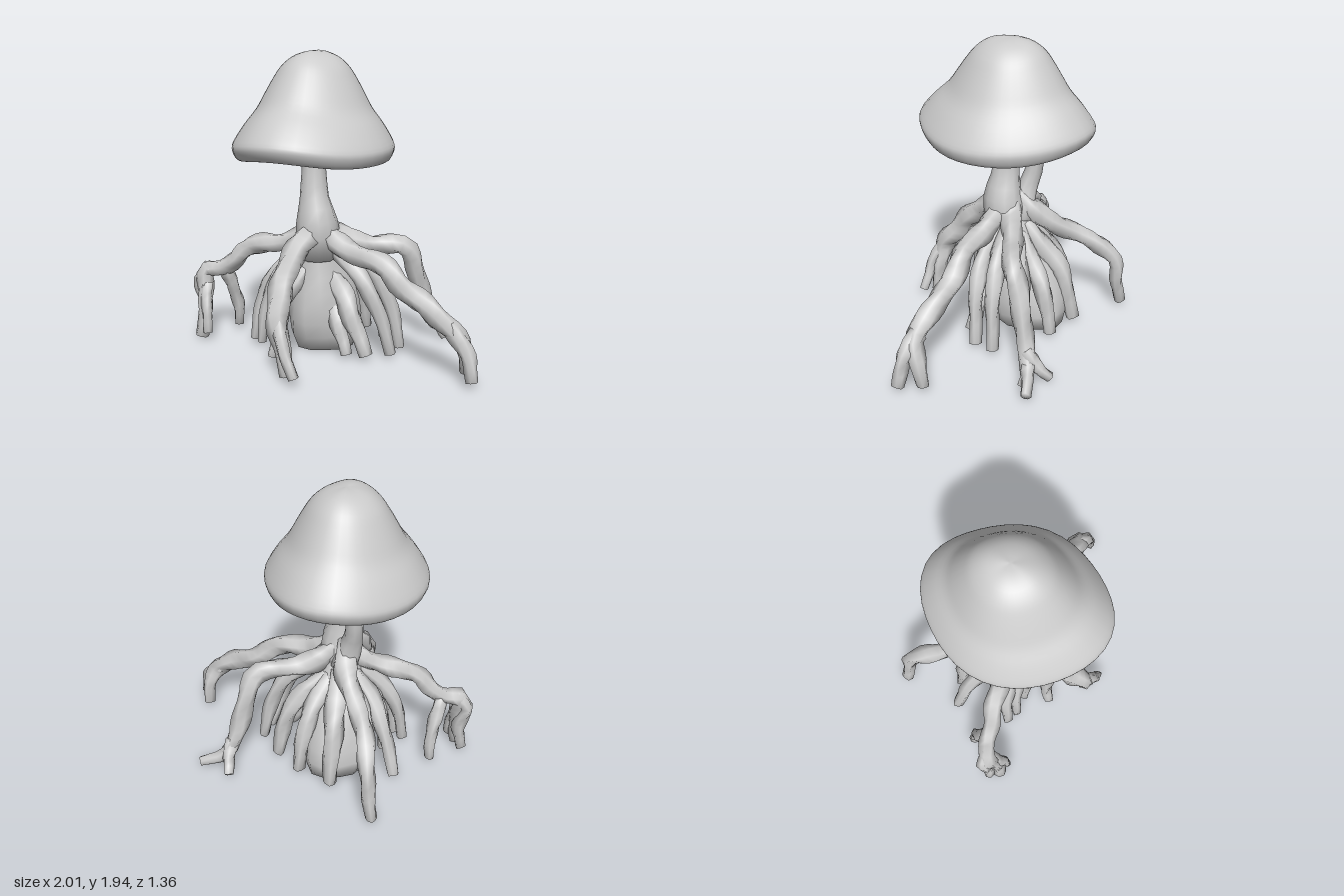
import * as THREE from 'three';
import { mergeVertices } from 'three/addons/utils/BufferGeometryUtils.js';

const material = new THREE.MeshStandardMaterial({ color: 0xcccccc });
const capMaterial = new THREE.MeshStandardMaterial({ color: 0xcccccc, side: THREE.DoubleSide });

// Drops seams so normals run smoothly all round
function smooth(geometry) {
  geometry.deleteAttribute('uv');
  geometry.deleteAttribute('normal');
  const merged = mergeVertices(geometry, 1e-5);
  merged.computeVertexNormals();
  return merged;
}

function lerpList(list, t) {
  const s = t * (list.length - 1), i = Math.min(Math.floor(s), list.length - 2);
  return list[i] + (list[i + 1] - list[i]) * (s - i);
}

// Tapered, gnarled tube with blunt closed ends; radii are spread evenly along its length
function limb(name, points, radii, gnarl = 0.16, sides = 7) {
  const curve = new THREE.CatmullRomCurve3(points.map(p => new THREE.Vector3(...p)), false, 'centripetal');
  const n = points.length * 3;
  const geometry = new THREE.TubeGeometry(curve, n, 1, sides);
  const pos = geometry.attributes.position, v = new THREE.Vector3();
  for (let i = 0; i <= n; i++) {
    const centre = curve.getPointAt(i / n);
    const end = i === 0 || i === n;
    const target = i === 1 ? curve.getPointAt(0) : i === n - 1 ? curve.getPointAt(1) : centre;
    for (let j = 0; j <= sides; j++) {
      const k = i * (sides + 1) + j;
      const wobble = 1 + gnarl * Math.sin(i * 1.1 + points[0][0] * 20 + (j % sides) * 2.4);
      v.fromBufferAttribute(pos, k).sub(centre).multiplyScalar(end ? 0 : lerpList(radii, i / n) * wobble).add(target);
      pos.setXYZ(k, v.x, Math.max(v.y, 0), v.z);
    }
  }
  const mesh = new THREE.Mesh(smooth(geometry), material);
  mesh.name = name;
  return mesh;
}

// Hollow bell cap: an oval lathe, slightly pinched on the diagonals, whose rim lifts at front and back
function makeCap() {
  const profile = [
    [0, 1.78], [0.2, 1.76], [0.36, 1.7], [0.5, 1.58], [0.66, 1.47], [0.82, 1.37], [0.86, 1.325],
    [0.9, 1.305], [0.95, 1.315], [0.995, 1.37], [0.975, 1.42], [0.85, 1.52], [0.71, 1.61],
    [0.61, 1.7], [0.52, 1.78], [0.42, 1.855], [0.29, 1.91], [0.14, 1.937], [0, 1.942],
  ].map(p => new THREE.Vector2(...p));
  const curve = new THREE.SplineCurve(profile);
  const geometry = new THREE.LatheGeometry(curve.getPoints(54).map(p => p.setX(Math.max(p.x, 0))), 40);
  const pos = geometry.attributes.position;
  for (let i = 0; i < pos.count; i++) {
    const x = pos.getX(i), y = pos.getY(i), z = pos.getZ(i);
    const r = Math.hypot(x, z), a = Math.atan2(z, x);
    const lift = r * (0.06 * Math.sin(a) ** 4 - 0.03);
    const pinch = 1 - 0.045 * r * Math.sin(2 * a) ** 2;
    pos.setXYZ(i, -0.15 + x * 0.51 * pinch, y + lift, 0.03 + 0.035 * r * r + z * (0.5 + 0.087 * r) * pinch);
  }
  const mesh = new THREE.Mesh(smooth(geometry), capMaterial);
  mesh.name = 'cap';
  return mesh;
}

// Lumpy core that the roots grip
function makeCore() {
  const rows = 8, sides = 14;
  const geometry = new THREE.CylinderGeometry(1, 1, 1, sides, rows);
  const pos = geometry.attributes.position;
  const rx = [0.21, 0.24, 0.245, 0.235, 0.215, 0.185, 0.15, 0.12, 0.08];
  const rz = [0.25, 0.28, 0.28, 0.26, 0.23, 0.19, 0.16, 0.13, 0.08];
  for (let i = 0; i < pos.count; i++) {
    const t = pos.getY(i) + 0.5, a = Math.atan2(pos.getZ(i), pos.getX(i));
    const r = Math.hypot(pos.getX(i), pos.getZ(i)) * (1 + 0.06 * Math.sin(4 * a + t * 5));
    pos.setXYZ(i, -0.15 + Math.cos(a) * r * lerpList(rx, t), t * 0.82, -0.12 + 0.16 * t + Math.sin(a) * r * lerpList(rz, t));
  }
  const mesh = new THREE.Mesh(smooth(geometry), material);
  mesh.name = 'rootCore';
  return mesh;
}

export function createModel() {
  const group = new THREE.Group();
  group.add(makeCap(), makeCore());

  // Twin stems
  group.add(limb('mainStem',
    [[-0.155, 1.78, 0.05], [-0.155, 1.3, 0.055], [-0.15, 1.05, 0.065], [-0.125, 0.85, 0.07], [-0.14, 0.65, 0.04]],
    [0.06, 0.066, 0.07, 0.075, 0.095, 0.14, 0.14], 0.03, 12));
  group.add(limb('thinStem',
    [[-0.23, 1.72, -0.17], [-0.24, 1.3, -0.125], [-0.25, 1.05, -0.09], [-0.22, 0.9, -0.05], [-0.17, 0.72, -0.04]],
    [0.04, 0.045, 0.05, 0.06, 0.1], 0.05, 10));

  // Long arching roots and their forked ends
  const mainRoots = {
    leftRoot: [
      [[[-0.12, 0.9, 0.06], [-0.04, 0.79, 0.07], [0.09, 0.71, 0.1], [0.33, 0.66, 0.12], [0.48, 0.53, 0.12], [0.7, 0.41, 0.16], [0.84, 0.3, 0.17], [0.89, 0.18, 0.12], [0.89, 0.04, 0.09]], [0.05, 0.075, 0.065, 0.07, 0.07, 0.065, 0.055, 0.035]],
      [[[0.8, 0.34, 0.17], [0.91, 0.23, 0.2], [0.97, 0.04, 0.22]], [0.055, 0.05, 0.035]],
    ],
    backLeftRoot: [
      [[[-0.13, 0.9, 0.03], [-0.05, 0.78, -0.03], [0.12, 0.7, -0.12], [0.35, 0.68, -0.24], [0.41, 0.5, -0.32], [0.46, 0.25, -0.38], [0.53, 0.1, -0.44], [0.69, 0.03, -0.5]], [0.05, 0.08, 0.06, 0.065, 0.065, 0.06, 0.05, 0.025]],
      [[[0.49, 0.2, -0.4], [0.49, 0.1, -0.48], [0.46, 0.03, -0.56]], [0.05, 0.045, 0.025]],
      [[[0.52, 0.12, -0.44], [0.56, 0.06, -0.44], [0.6, 0.01, -0.43]], [0.045, 0.04, 0.025]],
    ],
    backRightRoot: [
      [[[-0.17, 0.9, 0], [-0.2, 0.79, -0.1], [-0.26, 0.69, -0.21], [-0.38, 0.58, -0.36], [-0.45, 0.49, -0.5], [-0.49, 0.38, -0.6], [-0.51, 0.2, -0.62], [-0.54, 0.03, -0.64]], [0.05, 0.08, 0.065, 0.06, 0.06, 0.05, 0.045, 0.035]],
    ],
    rightRoot: [
      [[[-0.14, 0.9, 0.05], [-0.22, 0.77, 0.05], [-0.38, 0.7, 0.07], [-0.62, 0.65, 0.1], [-0.72, 0.54, 0.12], [-0.83, 0.48, 0.14], [-0.92, 0.47, 0.17], [-0.91, 0.3, 0.21], [-0.9, 0.15, 0.24], [-0.92, 0.02, 0.26]], [0.05, 0.07, 0.06, 0.065, 0.06, 0.055, 0.055, 0.055, 0.045, 0.045]],
      [[[-0.88, 0.48, 0.16], [-0.97, 0.4, 0.17], [-0.93, 0.22, 0.18], [-0.96, 0.03, 0.19]], [0.05, 0.045, 0.045, 0.035]],
      [[[-0.8, 0.48, 0.13], [-0.79, 0.36, 0.07], [-0.77, 0.2, 0.02], [-0.78, 0.04, 0]], [0.045, 0.045, 0.04, 0.03]],
      [[[-0.9, 0.38, 0.2], [-0.87, 0.22, 0.26], [-0.85, 0.06, 0.28]], [0.04, 0.035, 0.03]],
    ],
    frontRoot: [
      [[[-0.13, 0.92, 0.06], [-0.15, 0.79, 0.15], [-0.18, 0.71, 0.27], [-0.19, 0.61, 0.38], [-0.18, 0.48, 0.48], [-0.16, 0.38, 0.56], [-0.12, 0.22, 0.58], [-0.08, 0.03, 0.59]], [0.05, 0.08, 0.075, 0.075, 0.075, 0.065, 0.055, 0.035]],
      [[[-0.17, 0.42, 0.54], [-0.1, 0.26, 0.62], [0, 0.05, 0.65]], [0.045, 0.04, 0.028]],
      [[[-0.19, 0.57, 0.41], [-0.25, 0.42, 0.34], [-0.27, 0.2, 0.34], [-0.3, 0.03, 0.38]], [0.06, 0.055, 0.045, 0.03]],
    ],
  };
  for (const [name, branches] of Object.entries(mainRoots)) {
    const root = new THREE.Group();
    root.name = name;
    branches.forEach(([points, radii], i) => root.add(limb(i ? 'rootFork' : 'rootArch', points, radii)));
    group.add(root);
  }

  // Short inner roots arching out of the core: [shoulder, knee, foot, radius]
  const innerRoots = [
    [[-0.36, 0.55, 0.1], [-0.49, 0.36, 0.13], [-0.55, 0.03, 0.16], 0.042],
    [[-0.34, 0.54, 0.15], [-0.44, 0.33, 0.18], [-0.48, 0.03, 0.2], 0.036],
    [[-0.24, 0.46, 0.18], [-0.31, 0.33, 0.2], [-0.34, 0.02, 0.2], 0.042],
    [[0.05, 0.4, 0.06], [0.14, 0.24, 0.1], [0.24, 0.03, 0.12], 0.055],
    [[0, 0.28, 0.08], [0.06, 0.18, 0.13], [0.12, 0.03, 0.16], 0.045],
    [[0.15, 0.56, 0.07], [0.27, 0.38, 0.06], [0.37, 0.03, 0.02], 0.045],
    [[0.19, 0.58, -0.05], [0.31, 0.36, -0.08], [0.38, 0.03, -0.11], 0.045],
    [[0.08, 0.5, -0.15], [0.17, 0.33, -0.21], [0.22, 0.03, -0.25], 0.05],
    [[-0.03, 0.5, -0.18], [0.01, 0.34, -0.29], [0.04, 0.03, -0.36], 0.05],
    [[-0.17, 0.56, -0.18], [-0.19, 0.4, -0.32], [-0.2, 0.03, -0.42], 0.055],
    [[-0.29, 0.54, -0.13], [-0.38, 0.36, -0.22], [-0.41, 0.03, -0.26], 0.05],
    [[-0.35, 0.55, -0.06], [-0.47, 0.36, -0.14], [-0.58, 0.03, -0.22], 0.045],
    [[-0.33, 0.5, 0.04], [-0.42, 0.3, 0.04], [-0.45, 0.02, 0.03], 0.045],
  ];
  for (const [shoulder, knee, foot, r] of innerRoots) {
    const start = [-0.14 + (shoulder[0] + 0.14) * 0.35, shoulder[1] + 0.14, shoulder[2] * 0.4];
    group.add(limb('innerRoot', [start, shoulder, knee, foot], [r, r * 1.3, r * 1.2, r, r * 0.75]));
  }
  return group;
}
